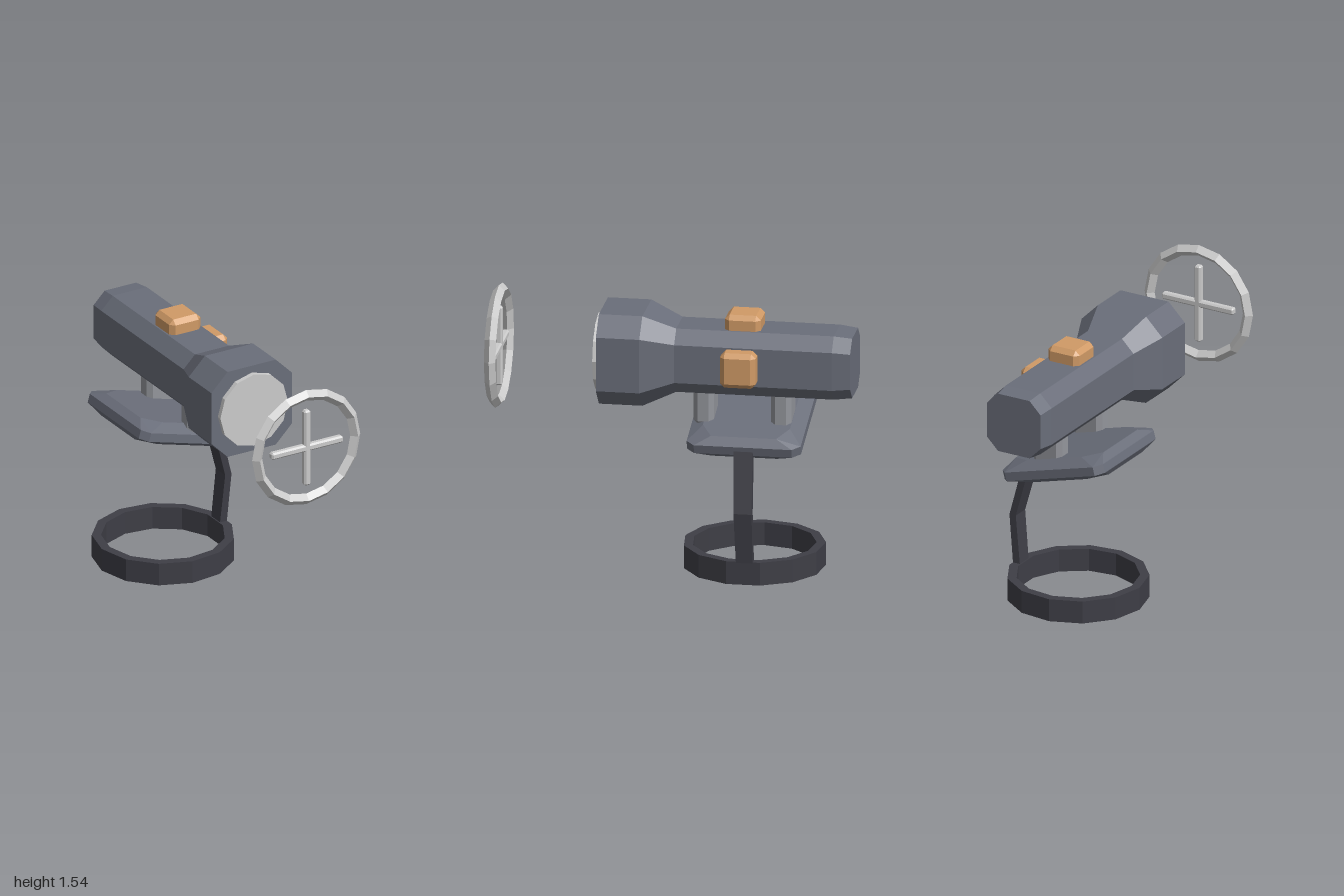
import * as THREE from 'three';
import { ConvexGeometry } from 'three/addons/geometries/ConvexGeometry.js';

const AXIS_X = 0.054, AXIS_Y = 1.2;

const paint = (color) => new THREE.MeshStandardMaterial({ color, flatShading: true });

// Box with every edge chamfered; w, h, d are half sizes
function chamferBox(w, h, d, c) {
  const points = [];
  for (const x of [-1, 1]) for (const y of [-1, 1]) for (const z of [-1, 1]) {
    points.push(
      new THREE.Vector3(x * w, y * (h - c), z * (d - c)),
      new THREE.Vector3(x * (w - c), y * h, z * (d - c)),
      new THREE.Vector3(x * (w - c), y * (h - c), z * d));
  }
  return new ConvexGeometry(points);
}

// Square section with cut corners: r = half width, f = half length of each flat
const octagon = (r, f, z) => [
  [r, -f], [r, f], [f, r], [-f, r], [-r, f], [-r, -f], [-f, -r], [f, -r],
].map(([x, y]) => [x, y, z]);

// Closed skin over sections listed from front to back
function loft(sections) {
  const pos = [];
  const n = sections[0].length, last = sections[sections.length - 1];
  for (let j = 0; j < n; j++) {
    const k = (j + 1) % n;
    for (let i = 0; i < sections.length - 1; i++) {
      const a = sections[i][j], b = sections[i][k];
      const c = sections[i + 1][j], d = sections[i + 1][k];
      pos.push(...a, ...c, ...b, ...b, ...c, ...d);
    }
    pos.push(0, 0, sections[0][0][2], ...sections[0][j], ...sections[0][k]);
    pos.push(0, 0, last[0][2], ...last[k], ...last[j]);
  }
  const geometry = new THREE.BufferGeometry();
  geometry.setAttribute('position', new THREE.Float32BufferAttribute(pos, 3));
  geometry.computeVertexNormals();
  return geometry;
}

export function createModel() {
  const group = new THREE.Group();
  const body = paint(0x6a6e7a), dark = paint(0x3e3e46), light = paint(0xcccccc);
  const copper = paint(0xd09a66), postGrey = paint(0x94969c);

  const add = (name, geometry, material, x = 0, y = 0, z = 0) => {
    const mesh = new THREE.Mesh(geometry, material);
    mesh.name = name;
    mesh.position.set(x, y, z);
    group.add(mesh);
    return mesh;
  };

  // Sight tube with a wider front end
  add('tube', loft([
    octagon(0.256, 0.153, 0.39), octagon(0.256, 0.153, 0.15),
    octagon(0.181, 0.108, -0.03), octagon(0.181, 0.108, -0.9),
    octagon(0.17, 0.1, -1),
  ]), body, AXIS_X, AXIS_Y);

  // Front lens
  const lens = new THREE.CylinderGeometry(0.215, 0.215, 0.06, 12, 1, false, Math.PI / 2);
  lens.rotateX(Math.PI / 2);
  add('lens', lens, light, AXIS_X, AXIS_Y, 0.387);

  // Floating aiming ring and crosshair
  add('aimingRing', new THREE.TorusGeometry(0.312, 0.032, 4, 16), light, AXIS_X, AXIS_Y, 0.967);
  add('crosshairVertical', chamferBox(0.02, 0.225, 0.02, 0.009), light, AXIS_X, AXIS_Y, 0.967);
  add('crosshairHorizontal', chamferBox(0.227, 0.02, 0.02, 0.009), light, AXIS_X, AXIS_Y, 0.967);

  // Adjustment knobs on the top and the left side
  const knob = chamferBox(0.099, 0.06, 0.099, 0.026);
  add('topKnob', knob, copper, AXIS_X, 1.405, -0.392);
  add('sideKnob', knob, copper, 0.264, AXIS_Y, -0.392).rotation.z = -Math.PI / 2;

  // Two mounting posts with cut corners
  for (const z of [-0.175, -0.603]) {
    add('mountingPost', chamferBox(0.09, 0.12, 0.056, 0.026), postGrey, AXIS_X, 0.945, z);
  }

  // Tilted bevelled plate
  const platePoints = [];
  for (const x of [-1, 1]) for (const y of [-1, 1]) for (const z of [-1, 1]) {
    for (const [px, py, pz] of [
      [0.33, 0.025, 0.27], [0.29, 0.025, 0.315],
      [0.288, 0.064, 0.18], [0.18, 0.064, 0.24],
    ]) platePoints.push(new THREE.Vector3(x * px, y * py, z * pz));
  }
  add('plate', new ConvexGeometry(platePoints), body, -0.015, 0.83, -0.42)
    .rotation.z = -THREE.MathUtils.degToRad(15.5);

  // Bent strut: left x, right x, y, centre z and half depth at each level
  const levels = [
    [0.318, 0.362, 0.08, -0.44, 0.046],
    [0.35, 0.39, 0.41, -0.433, 0.05],
    [0.262, 0.305, 0.74, -0.422, 0.053],
  ];
  const corners = ([x0, x1, y, z, d]) => [
    [x0, z - d], [x0, z + d], [x1, z - d], [x1, z + d],
  ].map(([x, zz]) => new THREE.Vector3(x, y, zz));
  for (let i = 0; i < 2; i++) {
    add(i ? 'upperStrut' : 'lowerStrut',
      new ConvexGeometry([...corners(levels[i]), ...corners(levels[i + 1])]), dark);
  }

  // Open base ring
  const profile = [[0.34, 0], [0.391, 0], [0.391, 0.13], [0.34, 0.13], [0.34, 0]]
    .map(([x, y]) => new THREE.Vector2(x, y));
  add('baseRing', new THREE.LatheGeometry(profile, 13, -Math.PI / 2), dark, -0.014, 0, -0.432);

  return group;
}
